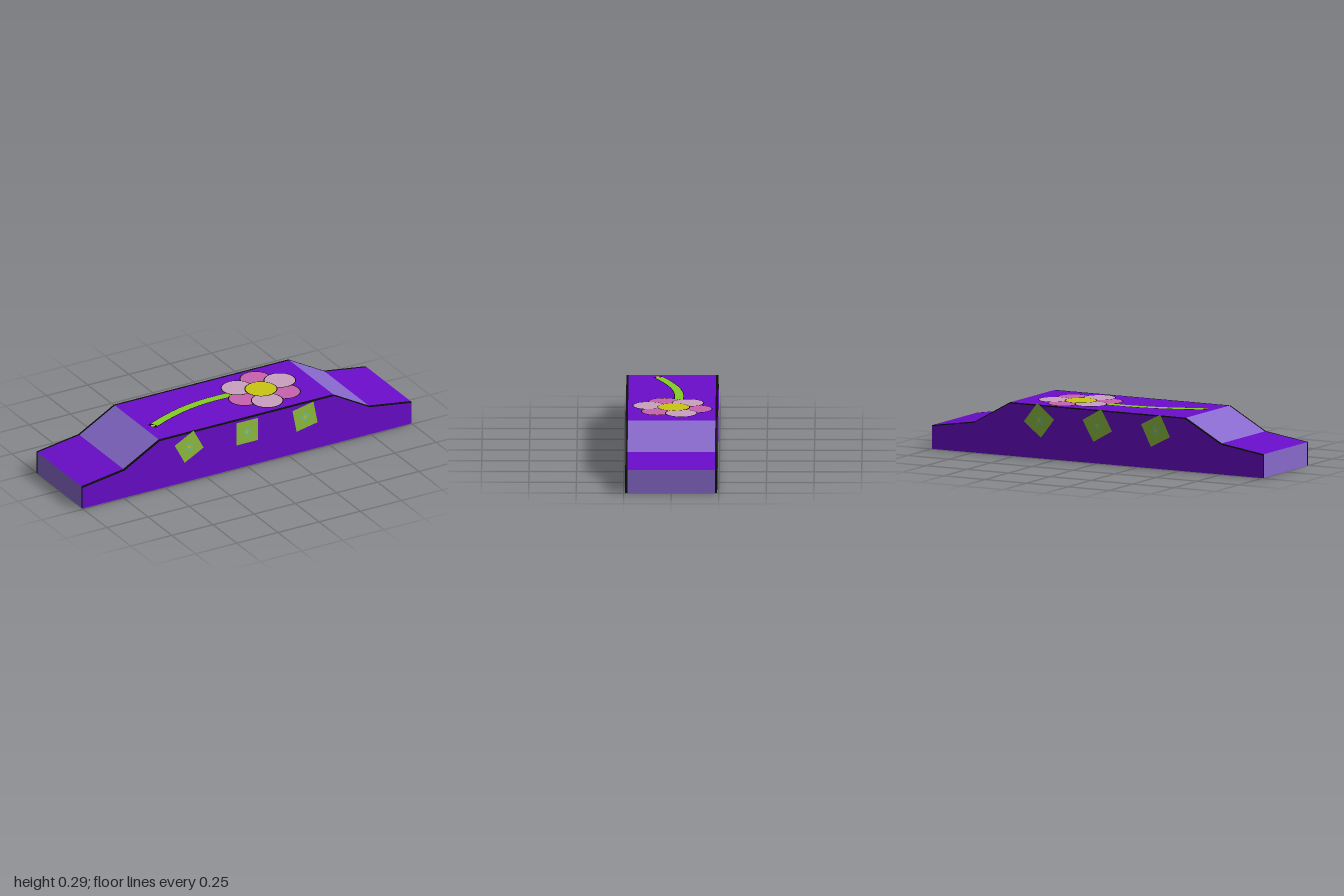
import * as THREE from 'three';

const mat = (name, color) => {
  const m = new THREE.MeshStandardMaterial({ color });
  m.name = name;
  return m;
};

export function createModel() {
  const purple = mat('purple', 0x6a0dcb);
  const lavender = mat('lavender', 0x8769cc);
  const black = mat('black', 0x0c0c0c);
  const lime = mat('lime', 0x84cf22);
  const leaf = mat('leaf green', 0x92c03e);
  const teal = mat('teal', 0x74c294);
  const yellow = mat('yellow', 0xcac614);
  const pink = mat('pink', 0xca62ae);
  const blush = mat('blush', 0xcba0c0);

  const model = new THREE.Group();
  const add = (name, geometry, material, parent = model) => {
    const mesh = new THREE.Mesh(geometry, material);
    mesh.name = name;
    parent.add(mesh);
    return mesh;
  };

  // stepped outline, with the right half mirrored
  const TOP = 0.284;
  const outline = (drop, base) => {
    const half = [[1, 0.126], [0.745, 0.164], [0.53, TOP]].map(([x, y]) => [x, y - drop]);
    const left = half.map(([x, y]) => [-x, y]).reverse();
    return new THREE.Shape([[-1, base], [1, base], ...half, ...left].map(p => new THREE.Vector2(...p)));
  };
  const slab = (shape, depth, z) => {
    const g = new THREE.ExtrudeGeometry(shape, { depth, bevelEnabled: false });
    g.translate(0, 0, z);
    return g;
  };

  // core block: end walls and slopes are lavender
  const core = slab(outline(0, 0), 0.46, -0.23).toNonIndexed ? slab(outline(0, 0), 0.46, -0.23) : null;
  core.clearGroups();
  const n = core.attributes.normal;
  for (let i = 0; i < n.count; i += 3) {
    const pale = Math.abs(n.getX(i)) > 0.3;
    core.addGroup(i, 3, pale ? 1 : 0);
  }
  add('body', core, [purple, lavender]);

  // dark rims along both long edges, faced with purple
  for (const s of [1, -1]) {
    const side = new THREE.Group();
    side.name = s > 0 ? 'frontSide' : 'backSide';
    if (s < 0) side.rotation.y = Math.PI;
    model.add(side);
    add('rim', slab(outline(0, 0.001), 0.012, 0.23), black, side);
    const face = new THREE.ShapeGeometry(outline(0.005, 0));
    face.translate(0, 0, 0.2425);
    add('sidePanel', face, purple, side);

    // tilted square tiles with a small blossom
    const tilts = s > 0 ? [28, 0, 11] : [-38, 30, 27];
    tilts.forEach((deg, i) => {
      const tile = new THREE.Group();
      tile.name = 'tile';
      tile.position.set((i - 1) * 0.352, 0.202, 0.243);
      tile.rotation.z = THREE.MathUtils.degToRad(deg);
      side.add(tile);
      add('tileFace', new THREE.PlaneGeometry(0.13, 0.13), leaf, tile);
      for (let k = 0; k < 4; k++) {
        const a = k * Math.PI / 2;
        const petal = new THREE.CircleGeometry(0.011, 12);
        petal.translate(0.018 * Math.cos(a), 0.018 * Math.sin(a), 0.0006);
        add('tilePetal', petal, teal, tile);
      }
      add('tileCentre', new THREE.CircleGeometry(0.01, 12).translate(0, 0, 0.001), yellow, tile);
    });
  }
  add('underside', new THREE.PlaneGeometry(2, 0.484).rotateX(Math.PI / 2), purple);

  // flat painted pieces on the top deck, each with a dark edge
  const deck = (name, geometry, material, level) => {
    geometry.rotateX(-Math.PI / 2);
    geometry.translate(0, TOP + level, 0);
    return add(name, geometry, material);
  };
  const disc = (name, x, z, r, material, level) => {
    deck(name + 'Edge', new THREE.CircleGeometry(r, 32).translate(x, -z, 0), black, level);
    deck(name, new THREE.CircleGeometry(r - 0.005, 32).translate(x, -z, 0), material, level + 0.0004);
  };

  // curved stem
  const path = new THREE.CatmullRomCurve3([
    [-0.485, -0.08], [-0.37, -0.03], [-0.24, 0.012], [-0.1, 0.035], [0.06, 0.037],
  ].map(([x, y]) => new THREE.Vector3(x, y, 0)));
  const ribbon = (w, from) => {
    const up = [], down = [];
    for (let i = 0; i <= 24; i++) {
      const t = from + (1 - from) * i / 24;
      const p = path.getPoint(t), d = path.getTangent(t);
      up.unshift(new THREE.Vector2(p.x - d.y * w, p.y + d.x * w));
      down.push(new THREE.Vector2(p.x + d.y * w, p.y - d.x * w));
    }
    return new THREE.ShapeGeometry(new THREE.Shape([...down, ...up]));
  };
  deck('stemEdge', ribbon(0.026, 0), black, 0.0004);
  deck('stem', ribbon(0.022, 0.045), lime, 0.0008);
  deck('stemTip', new THREE.CircleGeometry(0.011, 12).translate(-0.476, -0.077, 0), yellow, 0.0008);

  // flower: pink petals below, pale ones above, round centre on top
  [[0.267, -0.13], [0.325, 0.077], [0.1, 0.04]].forEach(([x, z]) => disc('pinkPetal', x, z, 0.085, pink, 0.0008));
  [[0.128, -0.085], [0.368, -0.05], [0.192, 0.122]].forEach(([x, z]) => disc('palePetal', x, z, 0.086, blush, 0.0016));
  disc('flowerCentre', 0.23, -0.01, 0.087, yellow, 0.0024);

  return model;
}
